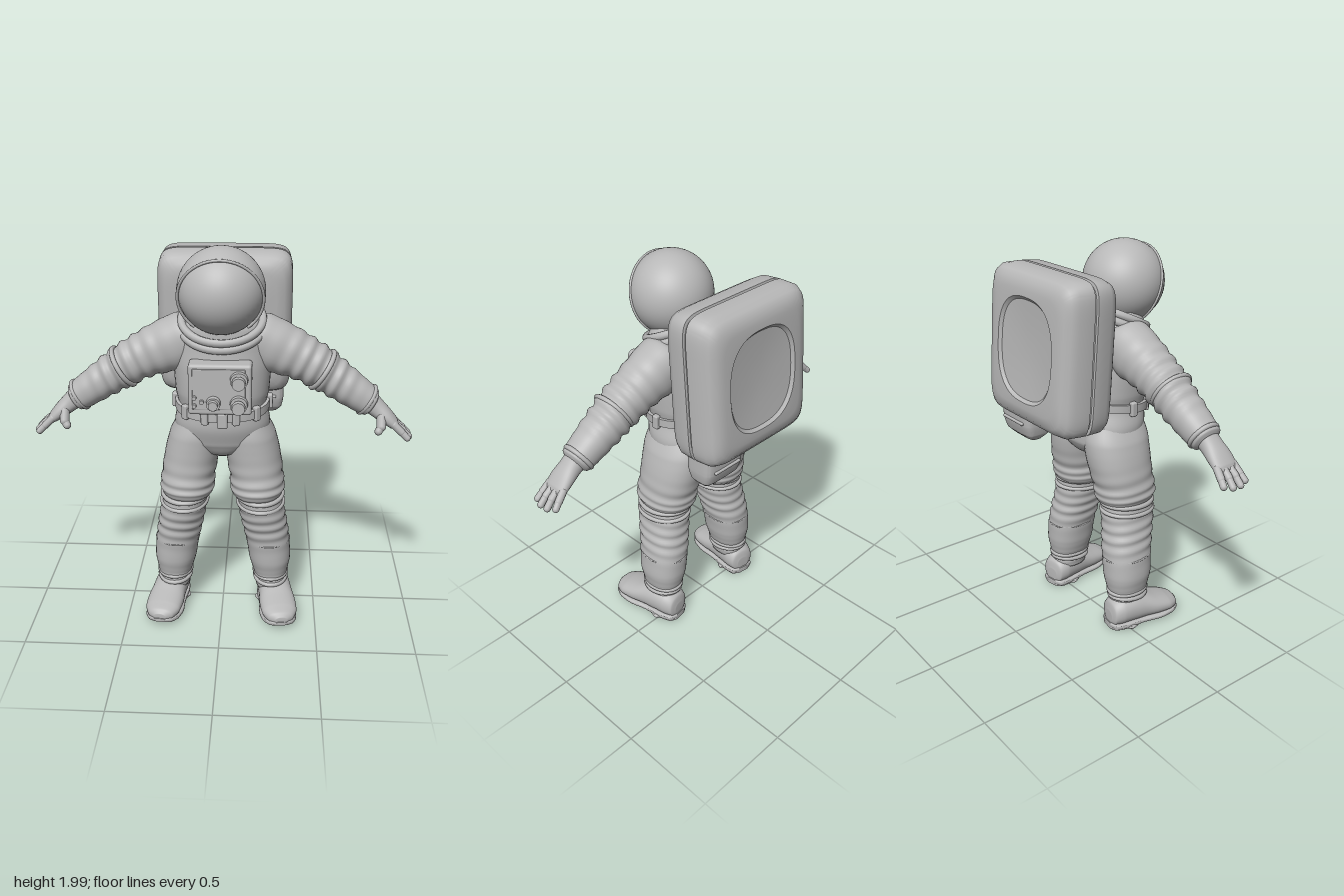
import * as THREE from 'three';
import { mergeVertices, toCreasedNormals } from 'three/addons/utils/BufferGeometryUtils.js';
import { RoundedBoxGeometry } from 'three/addons/geometries/RoundedBoxGeometry.js';

const V = (x, y, z) => new THREE.Vector3(x, y, z);
const X = V(1, 0, 0), Y = V(0, 1, 0), Z = V(0, 0, 1);

// Closed loft through rings [x, y, z, ru, rw, foldDepth, squareness]; u x w points along the loft.
function loft(rings, u, w, { steps = 8, seg = 40, folds = 6, crease = 0 } = {}) {
  const centre = new THREE.CatmullRomCurve3(rings.map(r => V(r[0], r[1], r[2])));
  const radius = new THREE.CatmullRomCurve3(rings.map(r => V(r[3], r[4], r[5] ?? 0)));
  const rows = (rings.length - 1) * steps, pos = [], idx = [];
  for (let i = 0; i <= rows; i++) {
    const t = i / rows, c = centre.getPoint(t), r = radius.getPoint(t);
    const k = Math.min(Math.floor(i / steps), rings.length - 2), f = i / steps - k;
    const n = THREE.MathUtils.lerp(rings[k][6] ?? 2.2, rings[k + 1][6] ?? 2.2, f);
    for (let j = 0; j < seg; j++) {
      const a = j / seg * Math.PI * 2, ca = Math.cos(a), sa = Math.sin(a);
      const fold = r.z * Math.sin(t * folds * Math.PI * 2 + 1.4 * Math.sin(a + 0.6));
      const p = c.clone()
        .addScaledVector(u, Math.sign(ca) * Math.abs(ca) ** (2 / n) * (r.x + fold))
        .addScaledVector(w, Math.sign(sa) * Math.abs(sa) ** (2 / n) * (r.y + fold));
      pos.push(p.x, p.y, p.z);
    }
  }
  for (let i = 0; i < rows; i++) for (let j = 0; j < seg; j++) {
    const a = i * seg + j, b = i * seg + (j + 1) % seg;
    idx.push(a, b, b + seg, a, b + seg, a + seg);
  }
  const start = pos.length / 3, end = start + 1;
  for (const t of [0, 1]) pos.push(...centre.getPoint(t).toArray());
  for (let j = 0; j < seg; j++) {
    const k = (j + 1) % seg, o = rows * seg;
    idx.push(start, k, j, end, o + j, o + k);
  }
  const g = new THREE.BufferGeometry();
  g.setAttribute('position', new THREE.Float32BufferAttribute(pos, 3));
  g.setIndex(idx);
  g.computeVertexNormals();
  return crease ? toCreasedNormals(g, crease) : g;
}

// Elliptical band lying flat, optionally tilted about x
const band = (x, y, z, rx, rz, tube, tilt = 0) =>
  new THREE.TorusGeometry(1, tube / rx, 10, 48).scale(rx, rz, rx).rotateX(Math.PI / 2 + tilt).translate(x, y, z);

// Round-ended rod between two points
function rod(a, b, r) {
  const d = b.clone().sub(a);
  const q = new THREE.Quaternion().setFromUnitVectors(Y, d.clone().normalize());
  const m = a.clone().add(b).multiplyScalar(0.5);
  return new THREE.CapsuleGeometry(r, d.length(), 5, 12).applyQuaternion(q).translate(m.x, m.y, m.z);
}

const box = (w, h, d, r, x, y, z) => new RoundedBoxGeometry(w, h, d, 3, r).translate(x, y, z);

// Mirror a geometry across x = 0, keeping faces outward
function mirror(geometry) {
  const g = geometry.index ? geometry.clone() : mergeVertices(geometry);
  g.scale(-1, 1, 1);
  const a = g.index.array;
  for (let i = 0; i < a.length; i += 3) [a[i], a[i + 1]] = [a[i + 1], a[i]];
  return g;
}

export function createModel() {
  const model = new THREE.Group();
  model.name = 'astronaut';
  const suit = new THREE.MeshStandardMaterial({ color: 0xb8b8b8 });
  suit.name = 'suit grey';
  const add = (name, g) => {
    const m = new THREE.Mesh(g, suit);
    m.name = name;
    model.add(m);
  };
  const pair = (name, g) => {
    add(name + 'Left', g);
    add(name + 'Right', mirror(g));
  };

  // Torso and hips
  add('torso', loft([
    [0, 1.67, 0.12, 0.15, 0.12], [0, 1.61, 0.11, 0.2, 0.155], [0, 1.52, 0.095, 0.232, 0.175],
    [0, 1.4, 0.09, 0.24, 0.19], [0, 1.27, 0.09, 0.232, 0.19], [0, 1.2, 0.088, 0.22, 0.182],
    [0, 1.1, 0.073, 0.24, 0.192], [0, 1.01, 0.06, 0.23, 0.178], [0, 0.95, 0.06, 0.13, 0.14],
    [0, 0.91, 0.06, 0.05, 0.07]], X, Z));

  // Helmet: inner globe, outer shell open at the face, and rim
  const hy = 1.787, hz = 0.21, tilt = 1.886, open = 1.243;
  add('visor', new THREE.SphereGeometry(0.203, 48, 32).translate(0, hy, hz));
  add('helmetShell', new THREE.SphereGeometry(0.208, 48, 32, 0, Math.PI * 2, open, Math.PI - open)
    .rotateX(tilt).translate(0, hy, hz));
  add('visorRim', band(0, hy - 0.31 * 0.067, hz + 0.95 * 0.067, 0.199, 0.199, 0.007, tilt));
  add('neckRingUpper', band(0, 1.635, 0.135, 0.195, 0.175, 0.02, 0.455));
  add('neckRingLower', band(0, 1.602, 0.12, 0.203, 0.184, 0.02, 0.455));

  // Belt with loops and buckle
  const slope = V(0, -0.12, 1);
  add('belt', loft([[0, 1.225, 0.088, 0.226, 0.19], [0, 1.224, 0.088, 0.236, 0.2],
    [0, 1.181, 0.088, 0.236, 0.2], [0, 1.18, 0.088, 0.226, 0.19]], X, slope, { steps: 1, crease: 0.6 }));
  for (const a of [0, 0.75, 1.25, 1.9, 2.4, Math.PI, 4.1, 5.3]) {
    const g = new RoundedBoxGeometry(0.035, 0.075, 0.03, 2, 0.008).rotateY(Math.PI / 2 - a);
    add('beltLoop', g.translate(0.236 * Math.cos(a), 1.203 - 0.024 * Math.sin(a), 0.088 + 0.2 * Math.sin(a)));
  }
  add('buckle', box(0.05, 0.08, 0.04, 0.01, 0.01, 1.175, 0.295));

  // Chest control unit
  add('chestUnit', box(0.3, 0.25, 0.1, 0.015, 0, 1.345, 0.295));
  add('chestPanel', box(0.25, 0.2, 0.01, 0.004, -0.005, 1.35, 0.345));
  const disc = (name, x, y, r, z, depth) => add(name,
    new THREE.CylinderGeometry(r * 0.92, r, depth, 28).rotateX(Math.PI / 2).translate(x, y, z));
  for (const y of [1.4, 1.28]) {
    disc('knobBase', 0.09, y, 0.044, 0.355, 0.03);
    disc('knobStem', 0.09, y, 0.026, 0.375, 0.05);
    disc('knobCap', 0.09, y, 0.033, 0.403, 0.025);
  }
  disc('dial', -0.03, 1.285, 0.035, 0.362, 0.03);
  disc('dialCap', -0.03, 1.285, 0.024, 0.385, 0.03);
  for (const [x, y] of [[-0.12, 1.31], [-0.085, 1.29], [-0.12, 1.27]]) disc('button', x, y, 0.011, 0.355, 0.02);

  // Backpack with a seam groove and a dished back
  const pack = loft([
    [0, 0, 0.152, 0.29, 0.26, 0, 7], [0, 0, 0.142, 0.33, 0.3, 0, 8], [0, 0, 0.12, 0.355, 0.325, 0, 9],
    [0, 0, 0.085, 0.372, 0.34, 0, 9], [0, 0, 0.009, 0.375, 0.342, 0, 9], [0, 0, 0.007, 0.362, 0.33, 0, 9],
    [0, 0, -0.007, 0.362, 0.33, 0, 9], [0, 0, -0.009, 0.375, 0.342, 0, 9], [0, 0, -0.09, 0.372, 0.338, 0, 9],
    [0, 0, -0.125, 0.355, 0.322, 0, 9], [0, 0, -0.147, 0.328, 0.295, 0, 8], [0, 0, -0.155, 0.285, 0.255, 0, 6],
    [0, 0, -0.156, 0.255, 0.222, 0, 2.6], [0, 0, -0.142, 0.24, 0.208, 0, 2.6], [0, 0, -0.132, 0.12, 0.1, 0, 2.2],
  ], Y, X, { steps: 1, seg: 96, crease: 0.6 });
  add('backpack', pack.rotateX(0.065).translate(0, 1.53, -0.24));
  add('packPouch', loft([[0.185, 1.19, -0.265, 0.125, 0.085, 0, 5], [0.185, 1.11, -0.265, 0.125, 0.082, 0, 5],
    [0.185, 1.05, -0.265, 0.115, 0.065, 0, 5], [0.185, 1.02, -0.265, 0.09, 0.035, 0, 4]], X, Z, { crease: 0.8 }));
  add('pouchStrap', box(0.17, 0.015, 0.185, 0.006, 0.185, 1.12, -0.265));

  // Sleeves with folds around the elbow
  const across = V(0.5, 0.87, 0);
  pair('sleeve', loft([
    [0.1, 1.53, 0.09, 0.11, 0.11], [0.16, 1.525, 0.09, 0.138, 0.128], [0.27, 1.48, 0.088, 0.132, 0.122, 0.002],
    [0.36, 1.445, 0.088, 0.116, 0.114, 0.004], [0.43, 1.41, 0.088, 0.107, 0.11, 0.006],
    [0.5, 1.368, 0.09, 0.102, 0.104, 0.007], [0.56, 1.328, 0.092, 0.095, 0.099, 0.006],
    [0.63, 1.28, 0.096, 0.087, 0.092, 0.002], [0.7, 1.232, 0.1, 0.078, 0.083], [0.735, 1.21, 0.103, 0.07, 0.074],
    [0.745, 1.203, 0.103, 0.05, 0.055]], across, Z, { folds: 12 }));
  const cuff = (x, y, r) => new THREE.TorusGeometry(r, 0.012, 10, 40).rotateY(Math.PI / 2)
    .rotateZ(-0.55).translate(x, y, 0.1);
  pair('elbowBand', cuff(0.49, 1.374, 0.103));
  pair('wristBand', cuff(0.715, 1.222, 0.074));

  // Gloves: palm, four fingers, thumb
  pair('palm', loft([[0.72, 1.22, 0.103, 0.055, 0.058], [0.76, 1.187, 0.108, 0.047, 0.057],
    [0.81, 1.145, 0.113, 0.038, 0.066], [0.85, 1.11, 0.113, 0.028, 0.066], [0.868, 1.096, 0.113, 0.015, 0.055]],
    V(0.64, 0.77, 0), Z));
  [[0.062, 0.046, -0.018], [0.097, 0.088, 0], [0.131, 0.134, 0.002], [0.163, 0.175, -0.012]].forEach(([z0, z1, d]) => {
    const knuckle = V(0.848, 1.115, z0), joint = V(0.895 + d * 0.6, 1.078, (z0 + z1) / 2), tip = V(0.928 + d, 1.044 - d * 0.5, z1);
    pair('finger', rod(knuckle, joint, 0.019));
    pair('fingertip', rod(joint, tip, 0.017));
  });
  pair('thumb', rod(V(0.785, 1.155, 0.155), V(0.785, 1.11, 0.178), 0.024));
  pair('thumbTip', rod(V(0.785, 1.11, 0.178), V(0.772, 1.088, 0.187), 0.02));

  // Trouser legs, baggy above the knee
  pair('thigh', loft([
    [0.12, 1.12, 0.07, 0.1, 0.15], [0.135, 1.03, 0.062, 0.133, 0.175], [0.15, 0.95, 0.062, 0.14, 0.174],
    [0.165, 0.87, 0.068, 0.14, 0.168, 0.001], [0.177, 0.79, 0.08, 0.138, 0.163, 0.004],
    [0.181, 0.74, 0.085, 0.14, 0.164, 0.003], [0.18, 0.705, 0.086, 0.13, 0.152], [0.182, 0.68, 0.086, 0.105, 0.125]],
    X, Z, { folds: 7 }));
  pair('lowerLeg', loft([
    [0.188, 0.72, 0.088, 0.1, 0.12], [0.195, 0.675, 0.089, 0.115, 0.14], [0.202, 0.62, 0.087, 0.118, 0.142, 0.002],
    [0.215, 0.55, 0.077, 0.118, 0.137, 0.004], [0.228, 0.48, 0.064, 0.117, 0.134, 0.004],
    [0.242, 0.4, 0.054, 0.115, 0.132, 0.001], [0.253, 0.3, 0.05, 0.111, 0.129], [0.257, 0.23, 0.048, 0.096, 0.115],
    [0.259, 0.18, 0.048, 0.083, 0.104, 0.003], [0.262, 0.12, 0.045, 0.08, 0.095]], X, Z, { folds: 11 }));
  pair('kneeBandUpper', band(0.195, 0.69, 0.088, 0.115, 0.138, 0.014, 0.05));
  pair('kneeBandLower', band(0.199, 0.645, 0.088, 0.117, 0.14, 0.012, 0.05));
  pair('calfSeam', band(0.242, 0.405, 0.055, 0.114, 0.131, 0.005, -0.06));
  pair('ankleBandUpper', band(0.259, 0.2, 0.048, 0.084, 0.103, 0.013));
  pair('ankleBandLower', band(0.26, 0.17, 0.048, 0.082, 0.1, 0.013, 0.08));

  // Boots, toes turned out
  const place = g => g.rotateY(0.15).translate(0.272, 0, 0);
  pair('boot', place(loft([
    [0, 0.065, -0.08, 0.035, 0.035], [0, 0.08, -0.068, 0.068, 0.065], [0, 0.093, -0.02, 0.085, 0.08],
    [0, 0.097, 0.05, 0.088, 0.083], [0, 0.09, 0.12, 0.09, 0.073], [0, 0.078, 0.19, 0.096, 0.058],
    [0, 0.068, 0.26, 0.092, 0.046], [0, 0.06, 0.31, 0.066, 0.034], [0, 0.055, 0.33, 0.03, 0.018]], X, Y)));
  const sole = rings => place(loft(rings, X, Y, { crease: 0.7 }));
  pair('sole', sole([
    [0, 0.024, -0.085, 0.035, 0.012, 0, 4], [0, 0.022, -0.068, 0.07, 0.016, 0, 4], [0, 0.022, 0, 0.084, 0.016, 0, 4],
    [0, 0.024, 0.1, 0.086, 0.016, 0, 4], [0, 0.026, 0.2, 0.098, 0.016, 0, 4], [0, 0.03, 0.27, 0.09, 0.016, 0, 4],
    [0, 0.035, 0.315, 0.064, 0.015, 0, 4], [0, 0.038, 0.333, 0.03, 0.01, 0, 4]]));
  pair('heel', sole([
    [0, 0.012, -0.083, 0.04, 0.012, 0, 4], [0, 0.012, -0.065, 0.07, 0.012, 0, 4], [0, 0.012, 0, 0.082, 0.012, 0, 4],
    [0, 0.012, 0.06, 0.082, 0.012, 0, 4]]));

  return model;
}
